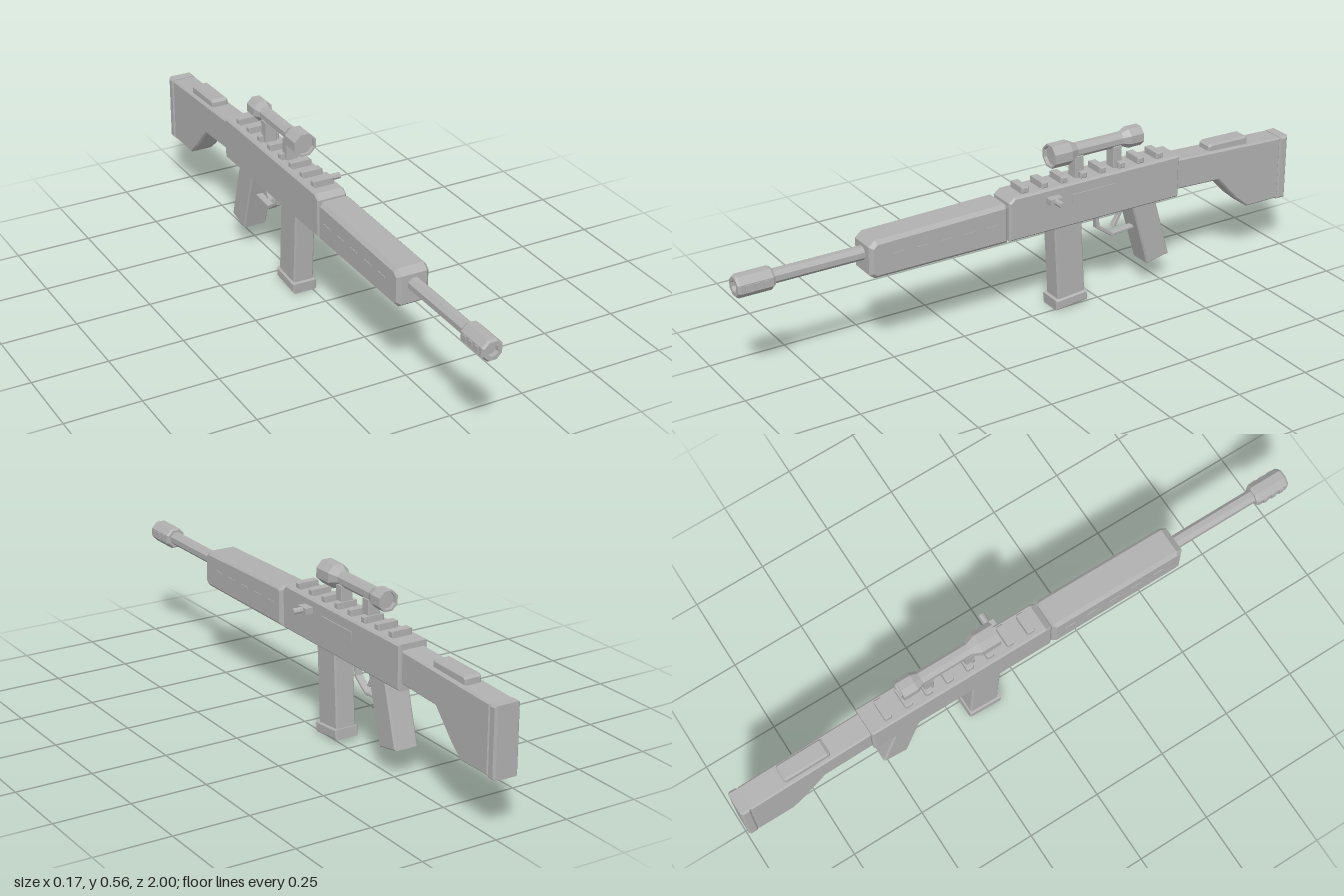
import * as THREE from 'three';

const CX = -0.028; // centre plane of the body; the bolt handle sticks out to +x

export function createModel() {
  const group = new THREE.Group();
  const grey = new THREE.MeshStandardMaterial({ color: 0xb0b0b0 });
  grey.name = 'plain grey';

  const add = (name, geometry) => {
    const flat = geometry.index ? geometry.toNonIndexed() : geometry;
    flat.computeVertexNormals();
    const mesh = new THREE.Mesh(flat, grey);
    mesh.name = name;
    group.add(mesh);
    return mesh;
  };

  // side profile given as [z, y] points, extruded across x with chamfered edges
  const slab = (name, points, width, bevel = 0.006) => {
    const shape = new THREE.Shape(points.map(([z, y]) => new THREE.Vector2(z, y)));
    const geo = new THREE.ExtrudeGeometry(shape, {
      depth: width - 2 * bevel, bevelEnabled: bevel > 0, bevelSegments: 1,
      bevelSize: bevel, bevelThickness: bevel, bevelOffset: -bevel,
    });
    geo.translate(0, 0, bevel - width / 2);
    geo.rotateY(-Math.PI / 2);
    geo.translate(CX, 0, 0);
    return add(name, geo);
  };

  const block = (name, z0, z1, y0, y1, width, bevel) =>
    slab(name, [[z0, y0], [z1, y0], [z1, y1], [z0, y1]], width, bevel);

  // octagonal turned part along z; profile is [apothem, z] from back to front
  const turned = (name, profile, y) => {
    const k = 1 / Math.cos(Math.PI / 8);
    const geo = new THREE.LatheGeometry(
      profile.map(([r, z]) => new THREE.Vector2(r * k, z)), 8, Math.PI / 8);
    geo.rotateX(Math.PI / 2);
    geo.translate(CX, y, 0);
    return add(name, geo);
  };

  const box = (name, w, h, d, x, y, z) =>
    add(name, new THREE.BoxGeometry(w, h, d).translate(x, y, z));

  // barrel and muzzle brake
  turned('barrel', [[0, 0.5], [0.021, 0.5], [0.021, 0.9], [0, 0.9]], 0.365);
  turned('muzzleBrake', [[0, 0.88], [0.029, 0.88], [0.034, 0.888], [0.034, 0.992],
    [0.029, 1], [0.017, 1], [0.017, 0.985], [0, 0.985]], 0.364);
  for (const side of [-1, 1]) {
    for (const z of [0.97, 0.94, 0.91]) {
      box('brakeSlot', 0.008, 0.022, 0.016, CX + side * 0.0335, 0.364, z);
    }
  }

  // handguard with vent slots on both sides
  slab('handguard', [[0.1, 0.292], [0.565, 0.292], [0.582, 0.306], [0.582, 0.398],
    [0.56, 0.416], [0.11, 0.425], [0.1, 0.415]], 0.108, 0.012);
  for (const side of [-1, 1]) {
    for (let i = 0; i < 5; i++) {
      box('ventSlot', 0.004, 0.007, 0.04, CX + side * 0.054, 0.362, 0.488 - i * 0.082);
    }
  }

  // receiver, ejection port and top rail
  slab('receiver', [[-0.547, 0.293], [0.095, 0.293], [0.095, 0.422], [0.075, 0.438],
    [-0.547, 0.438]], 0.1, 0.006);
  box('ejectionPort', 0.006, 0.03, 0.165, CX + 0.05, 0.386, -0.218);
  for (let i = 0; i < 8; i++) {
    const z = 0.029 - i * 0.0725;
    block('railLug', z - 0.013, z + 0.013, 0.437, 0.459, 0.071, 0.004);
  }

  // bolt handle
  box('boltBase', 0.03, 0.02, 0.045, 0.034, 0.403, -0.06);
  const knob = new THREE.CylinderGeometry(0.0105, 0.0105, 0.036, 8).rotateZ(Math.PI / 2);
  add('boltKnob', knob.translate(0.064, 0.403, -0.06));

  // scope with recessed lenses, on two mounts
  turned('scope', [[0, -0.405], [0.025, -0.405], [0.025, -0.417], [0.032, -0.417],
    [0.032, -0.37], [0.022, -0.345], [0.022, -0.175], [0.037, -0.145], [0.037, -0.08],
    [0.031, -0.08], [0.031, -0.092], [0, -0.092]], 0.524);
  for (const z of [-0.18, -0.325]) block('scopeMount', z - 0.016, z + 0.016, 0.438, 0.51, 0.041, 0.002);

  // stock, cheek rest and butt plate
  slab('stock', [[-0.545, 0.42], [-0.968, 0.402], [-0.968, 0.184], [-0.84, 0.184],
    [-0.795, 0.222], [-0.715, 0.308], [-0.545, 0.315]].reverse(), 0.082, 0.005);
  slab('cheekRest', [[-0.84, 0.4], [-0.68, 0.405], [-0.68, 0.43], [-0.69, 0.437],
    [-0.832, 0.434], [-0.84, 0.426]], 0.058, 0.006);
  block('buttPlate', -1, -0.966, 0.18, 0.404, 0.086, 0.007);

  // magazine and its base
  slab('magazine', [[-0.095, 0.03], [-0.08, 0.3], [-0.182, 0.3], [-0.197, 0.036]].reverse(), 0.07, 0.005);
  slab('magazineBase', [[-0.086, 0], [-0.083, 0.036], [-0.202, 0.046], [-0.204, 0.012]].reverse(), 0.083, 0.005);

  // grip, trigger and trigger guard
  slab('grip', [[-0.437, 0.077], [-0.372, 0.3], [-0.463, 0.3], [-0.522, 0.093]].reverse(), 0.082, 0.005);
  slab('trigger', [[-0.346, 0.3], [-0.338, 0.262], [-0.318, 0.226], [-0.333, 0.226],
    [-0.352, 0.262], [-0.362, 0.3]].reverse(), 0.018, 0.002);
  slab('triggerGuard', [[-0.25, 0.298], [-0.256, 0.236], [-0.314, 0.196], [-0.412, 0.204],
    [-0.412, 0.214], [-0.318, 0.207], [-0.267, 0.242], [-0.261, 0.298]].reverse(), 0.024, 0.002);

  return group;
}
